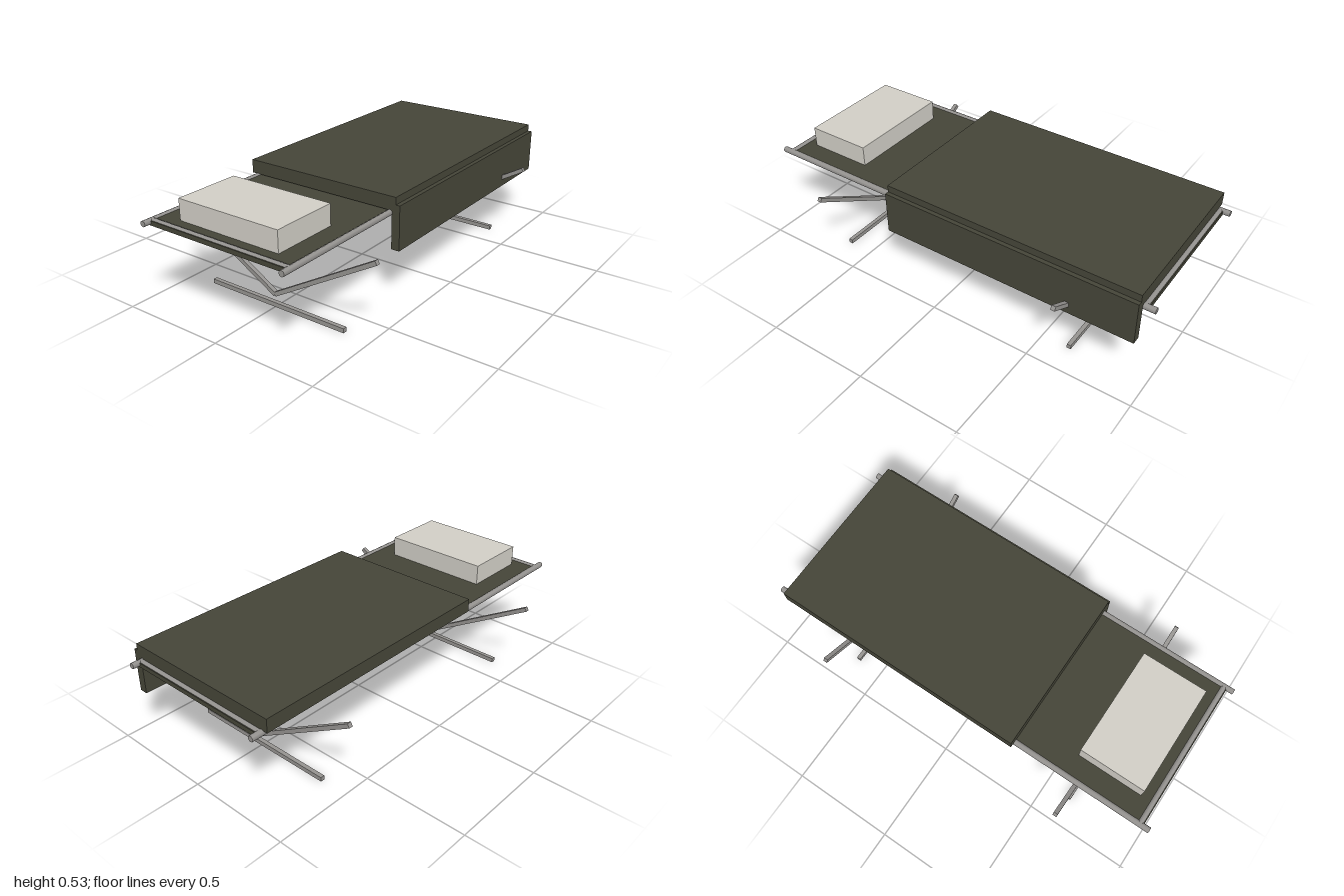
import * as THREE from 'three';

const mat = (name, color, flatShading = false) => {
  const m = new THREE.MeshStandardMaterial({ color, flatShading });
  m.name = name;
  return m;
};

export function createModel() {
  const group = new THREE.Group();
  const steel = mat('steel grey', 0x959390);
  const olive = mat('olive cloth', 0x454538);
  const linen = mat('pale linen', 0xd0cdc5);

  const add = (name, geometry, material) => {
    const mesh = new THREE.Mesh(geometry, material);
    mesh.name = name;
    group.add(mesh);
    return mesh;
  };
  // Box given by its lower and upper limits on each axis
  const box = (name, [x0, x1], [y0, y1], [z0, z1], material) => {
    const mesh = add(name, new THREE.BoxGeometry(x1 - x0, y1 - y0, z1 - z0), material);
    mesh.position.set((x0 + x1) / 2, (y0 + y1) / 2, (z0 + z1) / 2);
    return mesh;
  };

  // Bedding
  box('canvasSling', [-0.365, 0.365], [0.409, 0.43], [-0.968, 0.968], olive);
  box('blanket', [-0.402, 0.4], [0.434, 0.498], [-0.945, 0.314], olive);
  box('blanketDrape', [0.38, 0.42], [0.256, 0.464], [-0.945, 0.314], olive);
  box('pillow', [-0.264, 0.264], [0.43, 0.528], [0.578, 0.894], linen);

  // Side rails and end bars
  for (const s of [-1, 1]) {
    const rail = add('sideRail', new THREE.CylinderGeometry(0.014, 0.014, 2, 8), steel);
    rail.rotation.x = Math.PI / 2;
    rail.position.set(s * 0.37, 0.424, 0);

    const bar = add('endBar', new THREE.CylinderGeometry(0.014, 0.014, 0.74, 8), steel);
    bar.rotation.z = Math.PI / 2;
    bar.position.set(0, 0.424, s * 0.952);
  }

  // Two leg frames: a V of slanted struts above a floor bar
  const angle = Math.PI / 6, length = 0.61;
  for (const z of [-0.635, 0.63]) {
    box('floorBar', [-0.37, 0.37], [0, 0.021], [z - 0.01, z + 0.01], steel);
    for (const s of [-1, 1]) {
      const strut = add('legStrut', new THREE.BoxGeometry(length, 0.02, 0.02), steel);
      strut.rotation.z = s * angle;
      strut.position.set(s * Math.cos(angle) * length / 2, 0.06 + Math.sin(angle) * length / 2, z);
    }
  }
  return group;
}
